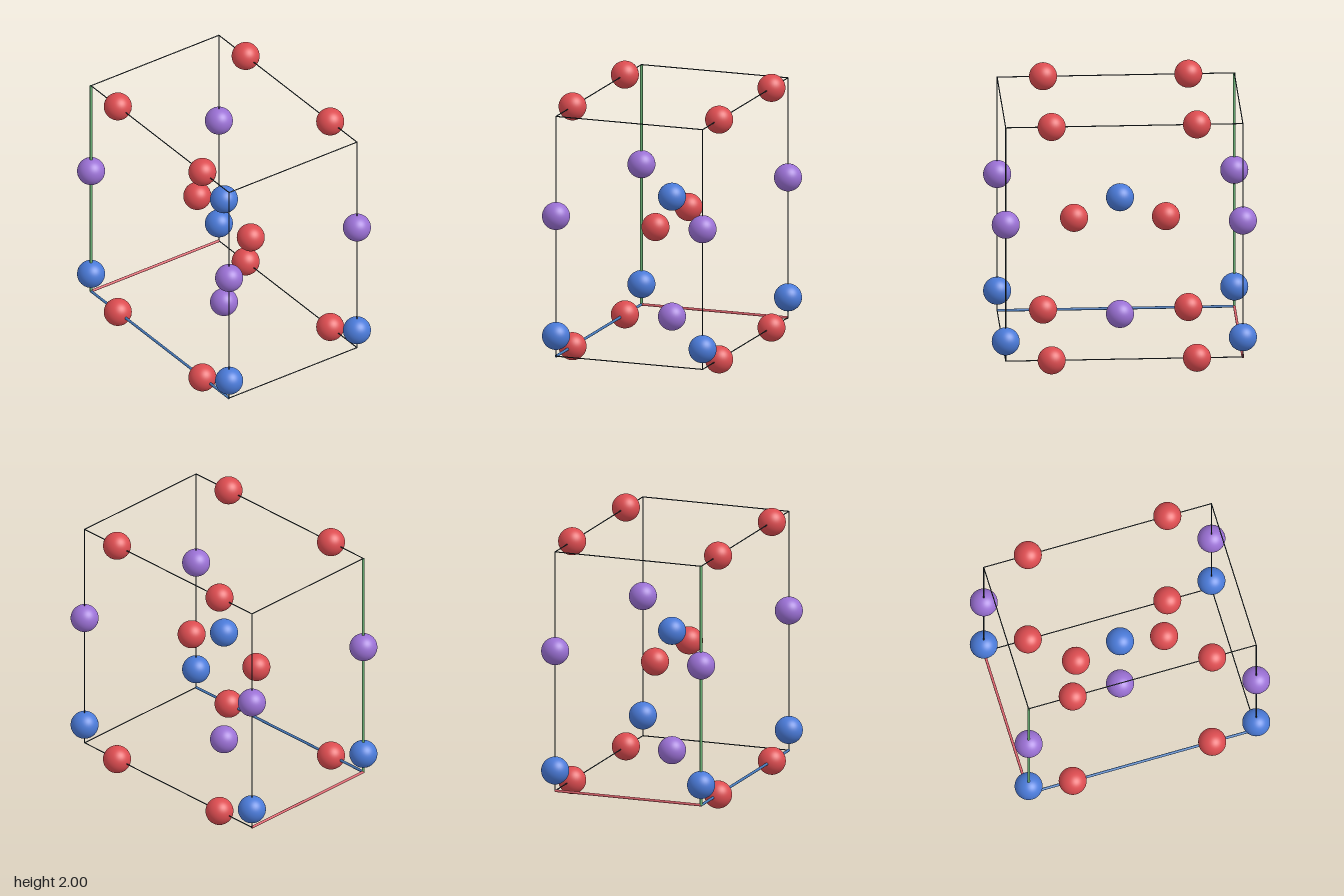
import * as THREE from 'three';

export function createModel() {
  const model = new THREE.Group();
  model.name = 'crystalUnitCell';

  const mat = (name, color) => {
    const m = new THREE.MeshStandardMaterial({ color });
    m.name = name;
    return m;
  };
  const red = mat('atomRed', 0xdc4c50);
  const blue = mat('atomBlue', 0x4a7ad8);
  const purple = mat('atomPurple', 0x9a70d4);
  const dark = mat('frameDark', 0x263238);
  const axisRed = mat('axisRed', 0xd9606a);
  const axisGreen = mat('axisGreen', 0x6cb477);
  const axisBlue = mat('axisBlue', 0x4678b8);

  // Cell half extents and the heights of its floor and ceiling
  const X = 0.572, Z = 0.865, Y0 = 0.102, Y1 = 1.898;
  const R = 0.102;
  const signs = [-1, 1];

  // Atoms
  const ball = new THREE.SphereGeometry(R, 40, 28);
  const atom = (name, material, x, y, z) => {
    const m = new THREE.Mesh(ball, material);
    m.name = name;
    m.position.set(x, y, z);
    model.add(m);
  };
  for (const sz of signs) {
    for (const sx of signs) {
      for (const y of [Y0, Y1]) atom('edgeAtom', red, sx * X, y, sz * 0.53);
      atom('cornerAtom', blue, sx * X, 0.254, sz * Z);
      atom('uprightAtom', purple, sx * X, 1.152, sz * Z);
    }
    atom('innerAtom', red, 0, 1.0, sz * 0.335);
  }
  atom('centreAtom', blue, 0, 1.152, 0);
  atom('lowerCentreAtom', purple, 0, 0.254, 0);

  // Straight rod between two points
  const rod = (name, material, radius, a, b) => {
    const from = new THREE.Vector3(...a), to = new THREE.Vector3(...b);
    const dir = to.clone().sub(from);
    const m = new THREE.Mesh(new THREE.CylinderGeometry(radius, radius, dir.length(), 12), material);
    m.name = name;
    m.position.copy(from).add(to).multiplyScalar(0.5);
    m.quaternion.setFromUnitVectors(new THREE.Vector3(0, 1, 0), dir.normalize());
    model.add(m);
  };

  // Twelve cell edges: the three meeting at the origin corner are coloured axes
  const edge = (axis, material, atOrigin, a, b) => rod(
    atOrigin ? axis + 'Axis' : 'cellEdge',
    atOrigin ? material : dark,
    atOrigin ? 0.01 : 0.004, a, b);
  for (const s of signs) {
    for (const t of signs) {
      const origin = s < 0 && t < 0;
      const yS = s < 0 ? Y0 : Y1;
      edge('x', axisRed, origin, [-X, yS, t * Z], [X, yS, t * Z]);
      edge('y', axisGreen, origin, [s * X, Y0, t * Z], [s * X, Y1, t * Z]);
      edge('z', axisBlue, origin, [t * X, yS, -Z], [t * X, yS, Z]);
    }
  }
  return model;
}
